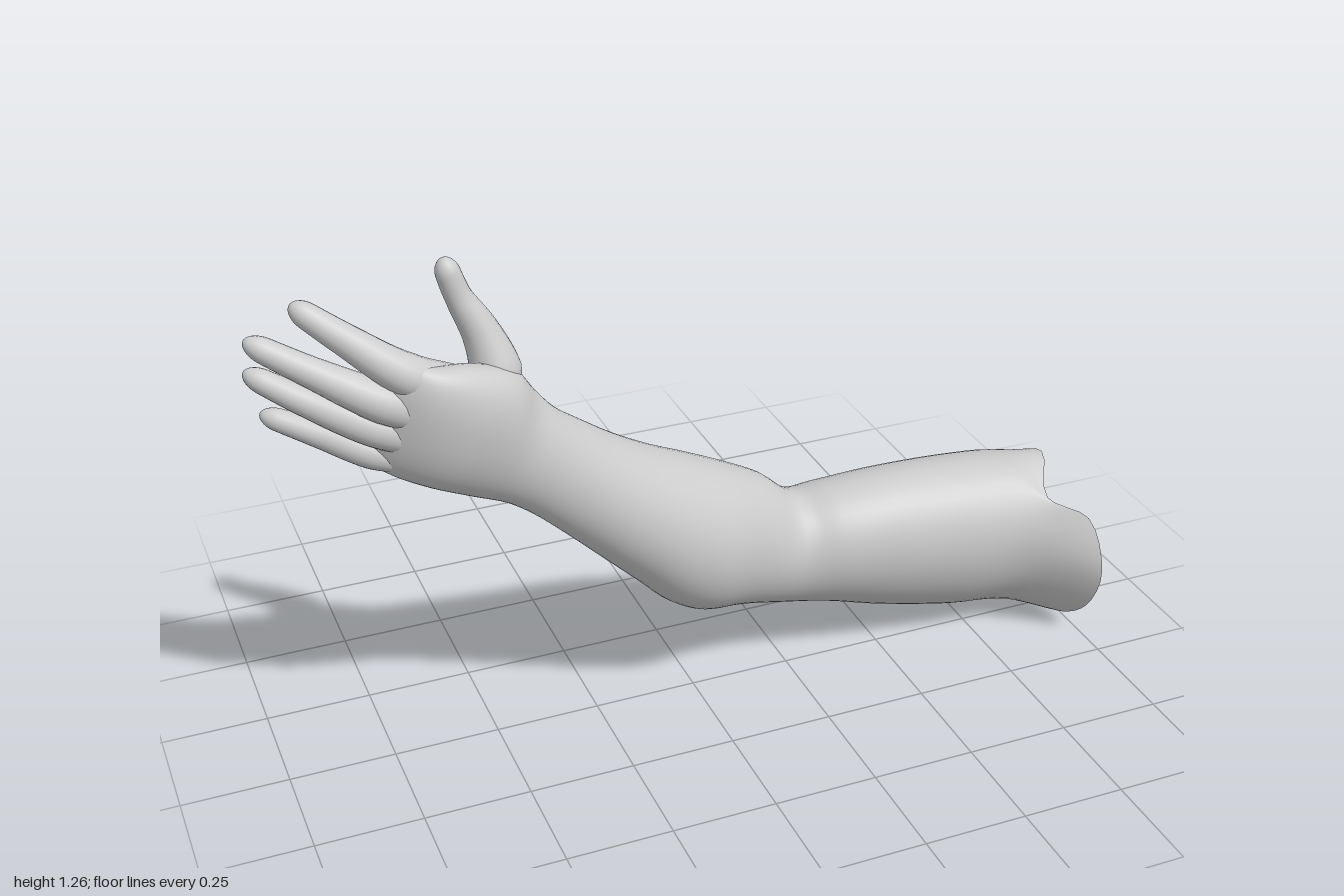
import * as THREE from 'three';

const V = (x, y, z) => new THREE.Vector3(x, y, z);
const skin = new THREE.MeshStandardMaterial({ color: 0xcccccc, side: THREE.DoubleSide });
skin.name = 'skin grey';

// Skin a list of equal-length closed rings into one smooth surface.
function loft(rings) {
  const n = rings[0].length, pos = [], index = [];
  rings.forEach((ring) => ring.forEach((p) => pos.push(p.x, p.y, p.z)));
  for (let i = 0; i < rings.length - 1; i++) {
    for (let j = 0; j < n; j++) {
      const k = (j + 1) % n, a = i * n + j, b = a + n, c = i * n + k, d = c + n;
      index.push(a, b, c, c, b, d);
    }
  }
  const g = new THREE.BufferGeometry();
  g.setAttribute('position', new THREE.Float32BufferAttribute(pos, 3));
  g.setIndex(index);
  g.computeVertexNormals();
  return g;
}

function addMesh(group, name, geometry) {
  const mesh = new THREE.Mesh(geometry, skin);
  mesh.name = name;
  group.add(mesh);
}

const SIDES = 48;

// Oval section: top and bottom edge in x/y, depth range in z, z tilt of the top edge, roundness power.
function section([tx, ty, bx, by, z0, z1, tilt = 0, power = 1]) {
  const ring = [];
  for (let j = 0; j < SIDES; j++) {
    const a = (j / SIDES) * Math.PI * 2;
    const c = Math.cos(a), s = Math.sin(a);
    const u = Math.sign(c) * Math.abs(c) ** power, w = Math.sign(s) * Math.abs(s) ** power;
    ring.push(V(
      (tx + bx) / 2 + (u * (tx - bx)) / 2,
      (ty + by) / 2 + (u * (ty - by)) / 2,
      (z0 + z1) / 2 + (w * (z1 - z0)) / 2 + u * tilt));
  }
  return ring;
}

// Ragged open rim at the shoulder, every 30 degrees from the top towards the front.
const rim = new THREE.CatmullRomCurve3([
  V(0.935, 0.462, 0.01), V(0.89, 0.4, 0.125), V(0.975, 0.355, 0.185), V(1.0, 0.22, 0.23),
  V(1.0, 0.09, 0.18), V(0.985, 0.025, 0.1), V(0.97, 0, 0), V(0.95, 0.02, -0.1),
  V(0.92, 0.09, -0.185), V(0.885, 0.2, -0.222), V(0.885, 0.32, -0.18), V(0.91, 0.41, -0.09),
], true);

// Shoulder to knuckles.
const armSections = [
  [0.84, 0.462, 0.86, 0.018, -0.222, 0.148, 0.04],
  [0.7, 0.472, 0.7, 0.035, -0.228, 0.131, 0.04],
  [0.5, 0.478, 0.5, 0.085, -0.212, 0.117, 0.035],
  [0.36, 0.467, 0.35, 0.135, -0.199, 0.1, 0.025],
  [0.28, 0.457, 0.23, 0.163, -0.187, 0.078, 0.01],
  [0.2, 0.52, 0.11, 0.2, -0.187, 0.1],
  [0.1, 0.58, 0, 0.228, -0.188, 0.14],
  [0, 0.635, -0.08, 0.28, -0.165, 0.153],
  [-0.1, 0.69, -0.16, 0.365, -0.125, 0.157],
  [-0.2, 0.755, -0.25, 0.46, -0.08, 0.16],
  [-0.29, 0.825, -0.34, 0.555, -0.035, 0.163],
  [-0.355, 0.88, -0.42, 0.635, -0.002, 0.17],
  [-0.4, 0.935, -0.48, 0.68, 0, 0.178],
  [-0.445, 1.0, -0.56, 0.715, 0.01, 0.195, 0.015, 0.95],
  [-0.54, 1.045, -0.65, 0.76, 0.035, 0.206, 0.025, 0.9],
  [-0.62, 1.065, -0.725, 0.798, 0.06, 0.192, 0.04, 0.9],
  [-0.685, 1.075, -0.765, 0.83, 0.08, 0.162, 0.04, 0.9],
  [-0.725, 1.035, -0.785, 0.87, 0.1, 0.137, 0.035],
  [-0.74, 0.965, -0.75, 0.945, 0.113, 0.123, 0.005],
];

function armGeometry() {
  const keys = [Array.from({ length: SIDES }, (_, j) => rim.getPoint(j / SIDES)), ...armSections.map(section)];
  const steps = (keys.length - 1) * 4;
  const rings = Array.from({ length: steps + 1 }, () => []);
  for (let j = 0; j < SIDES; j++) {
    const line = new THREE.CatmullRomCurve3(keys.map((ring) => ring[j]));
    rings.forEach((ring, i) => ring.push(line.getPoint(i / steps)));
  }
  return loft(rings);
}

// Tapered digit along [x, y, z, radius] stations, with a rounded tip.
function digitGeometry(stations) {
  const curve = new THREE.CatmullRomCurve3(stations.map(([x, y, z]) => V(x, y, z)));
  const rings = [], steps = 28, sides = 20, last = stations.length - 1;
  for (let i = 0; i <= steps; i++) {
    const t = Math.sin((i / steps) * Math.PI / 2);
    const k = Math.min(Math.floor(t * last), last - 1);
    const cap = Math.max(0, (t - 0.9) / 0.1);
    const r = THREE.MathUtils.lerp(stations[k][3], stations[k + 1][3], t * last - k)
      * Math.sqrt(Math.max(1e-6, 1 - cap * cap));
    const c = curve.getPoint(t), dir = curve.getTangent(t);
    const w = V(0, 0, 1).addScaledVector(dir, -dir.z).normalize();
    const u = dir.clone().cross(w);
    rings.push(Array.from({ length: sides }, (_, j) => {
      const a = (j / sides) * Math.PI * 2;
      return c.clone().addScaledVector(u, r * Math.cos(a)).addScaledVector(w, r * Math.sin(a));
    }));
  }
  return loft(rings);
}

const digits = {
  thumb: [[-0.49, 0.9, 0.1, 0.02], [-0.482, 0.99, 0.085, 0.058], [-0.505, 1.08, 0.07, 0.042],
    [-0.548, 1.17, 0.062, 0.029], [-0.576, 1.258, 0.06, 0.026]],
  indexFinger: [[-0.59, 1.0, 0.125, 0.045], [-0.69, 1.055, 0.145, 0.046], [-0.8, 1.14, 0.118, 0.034],
    [-0.898, 1.218, 0.078, 0.025]],
  middleFinger: [[-0.63, 0.945, 0.125, 0.05], [-0.74, 0.998, 0.137, 0.046], [-0.87, 1.073, 0.105, 0.033],
    [-0.995, 1.15, 0.065, 0.025]],
  ringFinger: [[-0.65, 0.89, 0.115, 0.05], [-0.76, 0.935, 0.118, 0.043], [-0.88, 0.99, 0.068, 0.032],
    [-0.995, 1.055, 0.012, 0.024]],
  littleFinger: [[-0.65, 0.825, 0.1, 0.035], [-0.76, 0.862, 0.092, 0.038], [-0.86, 0.9, 0.042, 0.03],
    [-0.968, 0.944, -0.008, 0.022]],
};

export function createModel() {
  const model = new THREE.Group();
  model.name = 'arm';
  addMesh(model, 'armAndPalm', armGeometry());
  for (const [name, stations] of Object.entries(digits)) addMesh(model, name, digitGeometry(stations));
  return model;
}
